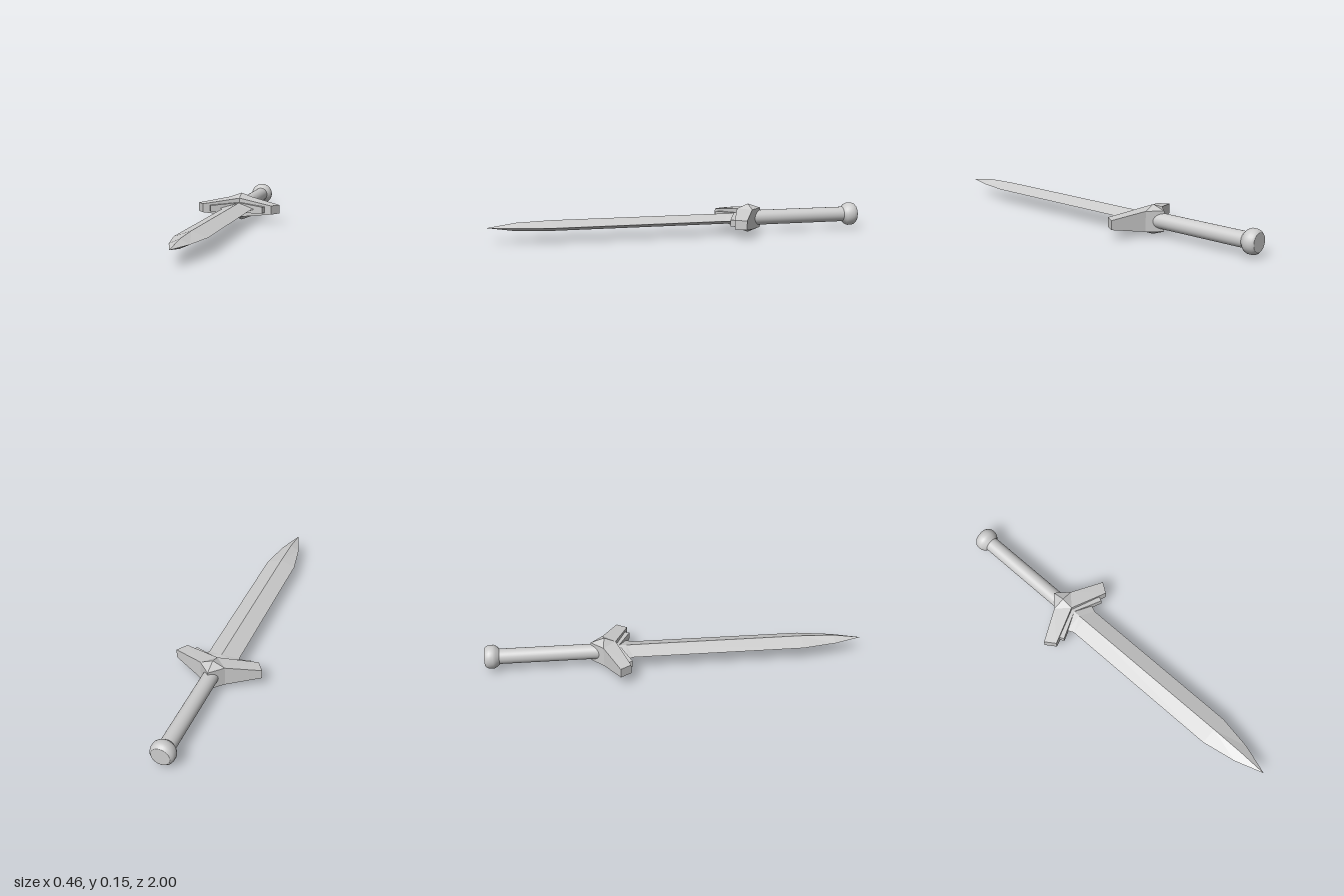
import * as THREE from 'three';

const steel = new THREE.MeshStandardMaterial({ color: 0xcccccc });
steel.name = 'steel grey';

// Flat-shaded solid from the triangles of one quadrant (+x, +y), mirrored in x and y
function mirroredSolid(name, triangles) {
  const positions = [];
  for (const sx of [1, -1]) {
    for (const sy of [1, -1]) {
      for (const tri of triangles) {
        const order = sx * sy > 0 ? tri : [...tri].reverse();
        for (const [x, y, z] of order) positions.push(x * sx, y * sy, z);
      }
    }
  }
  const geometry = new THREE.BufferGeometry();
  geometry.setAttribute('position', new THREE.Float32BufferAttribute(positions, 3));
  geometry.computeVertexNormals();
  const mesh = new THREE.Mesh(geometry, steel);
  mesh.name = name;
  return mesh;
}

const quad = (a, b, c, d) => [[a, b, c], [a, c, d]];

// Vertical walls running from the rim down to the middle plane
function walls(rim) {
  const flat = ([x, , z]) => [x, 0, z];
  return rim.slice(1).flatMap((b, i) => quad(rim[i], b, flat(b), flat(rim[i])));
}

// Diamond-section blade: z, half width, half thickness
function blade() {
  const stations = [
    [-0.36, 0.098, 0.028], [-0.265, 0.098, 0.028], [-0.23, 0.082, 0.028],
    [0.67, 0.082, 0.028], [0.85, 0.05, 0.022], [1, 0, 0],
  ];
  const ridge = ([z, , t]) => [0, t, z];
  const edge = ([z, w]) => [w, 0, z];
  return mirroredSolid('blade', stations.slice(1).flatMap((s, i) =>
    quad(ridge(stations[i]), ridge(s), edge(s), edge(stations[i]))));
}

// Swept guard with a raised point in the middle
function guard() {
  const peak = [0, 0.077, -0.38];
  const back = [0, 0.053, -0.45];
  const shoulder = [0.065, 0.053, -0.385];
  const tipBack = [0.232, 0.024, -0.305];
  const tipFront = [0.195, 0.024, -0.25];
  const front = [0, 0.053, -0.32];
  return mirroredSolid('guard', [
    [peak, shoulder, back],
    [peak, front, shoulder],
    ...quad(shoulder, front, tipFront, tipBack),
    ...walls([back, shoulder, tipBack, tipFront, front]),
  ]);
}

// Smaller stepped chevron in front of the guard
function guardStep() {
  const back = [0, 0.03, -0.36];
  const endBack = [0.162, 0.017, -0.275];
  const endFront = [0.147, 0.017, -0.24];
  const front = [0, 0.03, -0.302];
  return mirroredSolid('guardStep', [
    ...quad(back, front, endFront, endBack),
    ...walls([back, endBack, endFront, front]),
  ]);
}

// Round part turned about the long axis: points are [radius, distance behind the centre]
function turned(name, profile) {
  const points = profile.map(([r, d]) => new THREE.Vector2(r, d));
  const mesh = new THREE.Mesh(new THREE.LatheGeometry(points, 32), steel);
  mesh.rotation.x = -Math.PI / 2;
  mesh.name = name;
  return mesh;
}

export function createModel() {
  const sword = new THREE.Group();
  sword.name = 'sword';
  sword.add(
    blade(),
    guard(),
    guardStep(),
    turned('grip', [[0.04, 0.36], [0.04, 0.95]]),
    turned('pommel', [
      [0.04, 0.925], [0.055, 0.94], [0.062, 0.955], [0.062, 0.975],
      [0.058, 0.99], [0.048, 1], [0.047, 1], [0, 1],
    ]),
  );
  sword.position.y = 0.078;
  const model = new THREE.Group();
  model.name = 'model';
  model.add(sword);
  return model;
}
